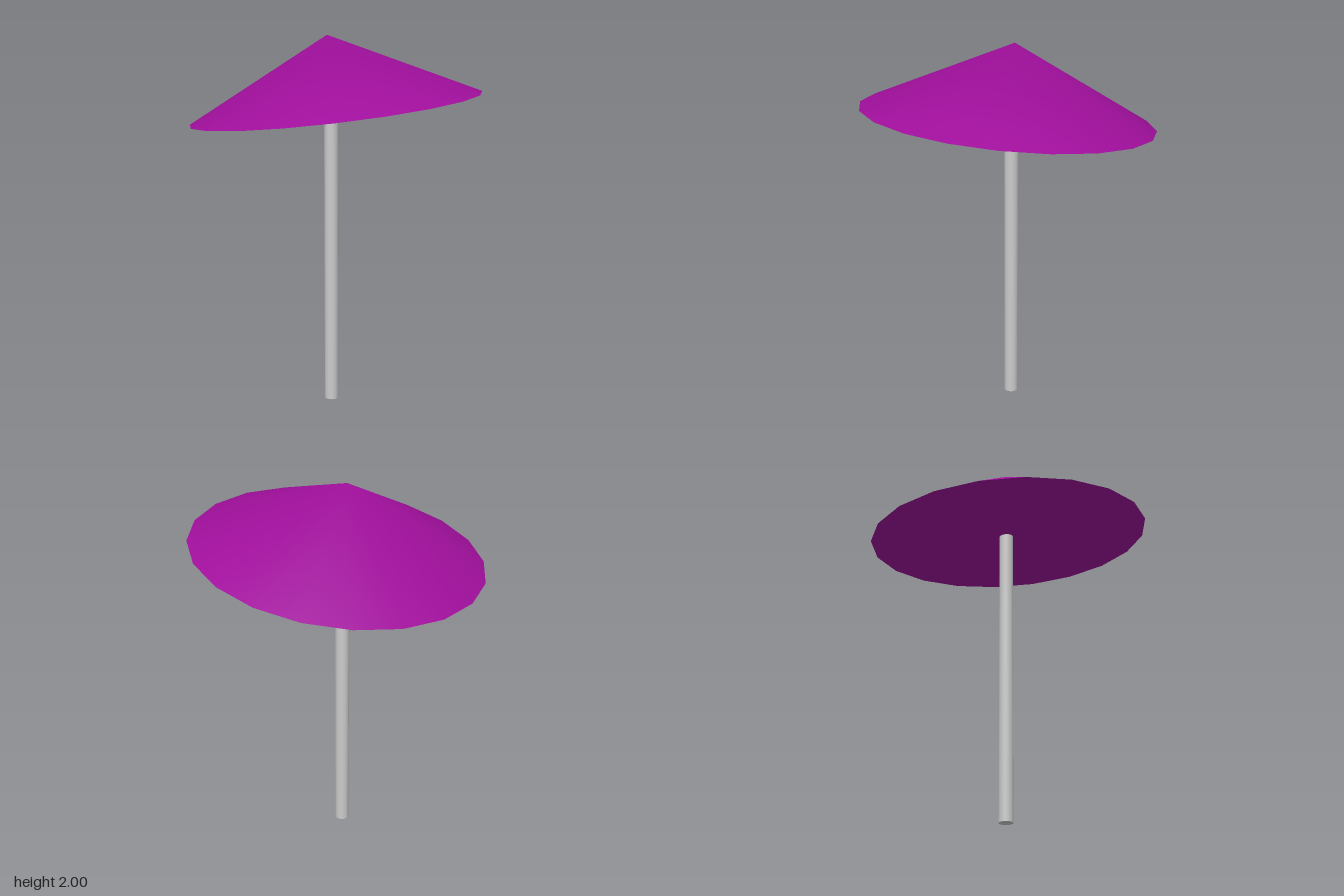
import * as THREE from 'three';
import { mergeVertices } from 'three/addons/utils/BufferGeometryUtils.js';

const RADIUS = 0.76, HEIGHT = 0.375, SIDES = 20, TILT = 0.144;

// Canopy surface with one shared apex, so the shading runs smoothly over the tip
function canopyGeometry() {
  const cone = new THREE.ConeGeometry(RADIUS, HEIGHT, SIDES, 1, true);
  cone.deleteAttribute('uv');
  cone.deleteAttribute('normal');
  const merged = mergeVertices(cone, 1e-4);
  merged.computeVertexNormals();
  return merged;
}

export function createModel() {
  const model = new THREE.Group();
  model.name = 'parasol';
  const purple = new THREE.MeshStandardMaterial({ color: 0xa00f9c });
  purple.side = THREE.DoubleSide;
  const grey = new THREE.MeshStandardMaterial({ color: 0xcccccc });

  // Tilted canopy, closed underneath by a flat disc
  const canopy = new THREE.Group();
  canopy.name = 'canopy';
  canopy.position.set(-0.027, 1.815, 0);
  canopy.rotation.z = TILT;

  const top = new THREE.Mesh(canopyGeometry(), purple);
  top.name = 'canopyTop';

  const underside = new THREE.Mesh(new THREE.CircleGeometry(RADIUS, SIDES), purple);
  underside.name = 'canopyUnderside';
  underside.rotation.x = Math.PI / 2;
  underside.position.y = -HEIGHT / 2;
  canopy.add(top, underside);

  // Upright pole, ending just inside the canopy
  const poleHeight = 1.66;
  const pole = new THREE.Mesh(new THREE.CylinderGeometry(0.037, 0.037, poleHeight, 20), grey);
  pole.name = 'pole';
  pole.position.set(-0.027, poleHeight / 2, 0);

  model.add(canopy, pole);
  return model;
}
